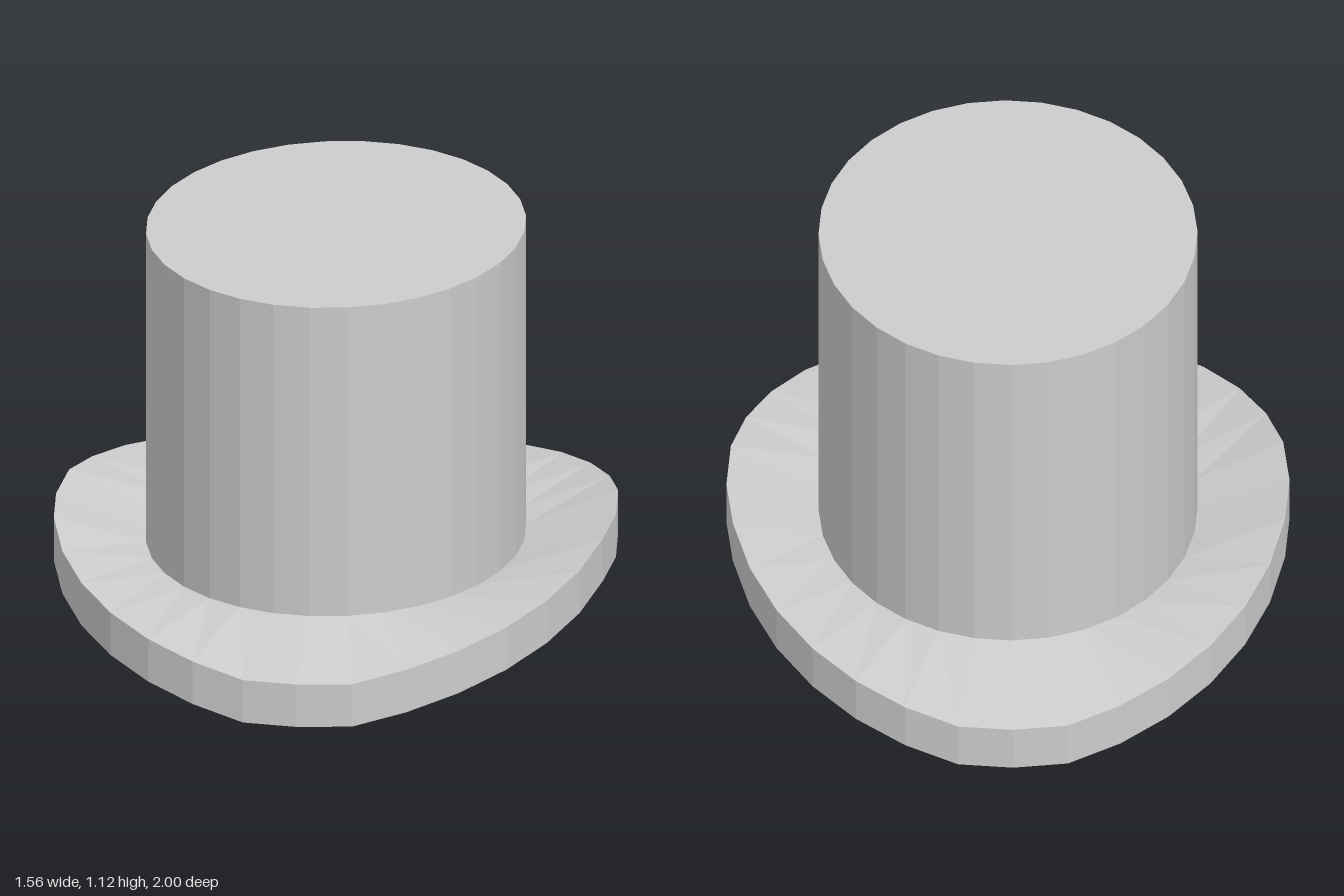
import * as THREE from 'three';

const SIDES = 32;
const BRIM_X = 0.78, BRIM_Z = 1, BRIM_THICKNESS = 0.125;
const CROWN_X = 0.525, CROWN_Z = 0.672, CROWN_BASE = 0.207, CROWN_TOP = 1.117;

// Point on an ellipse, counted from the front towards +x
function ringPoint(i, rx, rz, y) {
  const a = (i / SIDES) * Math.PI * 2;
  return [rx * Math.sin(a), y, rz * Math.cos(a)];
}

// The brim is low at the front and back and curls up at both sides
function brimLift(i) {
  const k = i % 16;
  const steps = Math.min(k, 16 - k);
  return 0.167 * THREE.MathUtils.clamp((steps - 1) / 6, 0, 1);
}

const low = (i) => ringPoint(i, BRIM_X, BRIM_Z, brimLift(i));
const high = (i) => ringPoint(i, BRIM_X, BRIM_Z, brimLift(i) + BRIM_THICKNESS);
const inner = (i) => ringPoint(i, CROWN_X, CROWN_Z, CROWN_BASE);

// Unshared corners give each facet its own flat normal
function facets(points) {
  const geometry = new THREE.BufferGeometry();
  geometry.setAttribute('position', new THREE.Float32BufferAttribute(points.flat(), 3));
  geometry.computeVertexNormals();
  return geometry;
}

export function createModel() {
  const hat = new THREE.Group();
  hat.name = 'topHat';
  const add = (name, geometry, flatShading) => {
    const material = new THREE.MeshStandardMaterial({ color: 0xcccccc, flatShading });
    const mesh = new THREE.Mesh(geometry, material);
    mesh.name = name;
    hat.add(mesh);
    return mesh;
  };

  // Crown: straight oval cylinder with a flat lid
  const height = CROWN_TOP - CROWN_BASE;
  const crown = new THREE.CylinderGeometry(1, 1, height, SIDES, 1, true);
  crown.scale(CROWN_X, 1, CROWN_Z);
  crown.translate(0, CROWN_BASE + height / 2, 0);
  add('crown', crown, true);

  const lid = new THREE.CircleGeometry(1, SIDES);
  lid.rotateX(-Math.PI / 2);
  lid.scale(CROWN_X, 1, CROWN_Z);
  lid.translate(0, CROWN_TOP, 0);
  add('crownLid', lid, true);

  // Brim: sloping upper side, outer edge, and an underside fanned from the back
  const upper = [], edge = [], under = [];
  const back = SIDES / 2;
  for (let i = 0; i < SIDES; i++) {
    const j = i + 1;
    upper.push(high(i), high(j), inner(i), inner(i), high(j), inner(j));
    edge.push(low(i), low(j), high(j), low(i), high(j), high(i));
    if (i !== back && j !== back) under.push(low(back), low(j), low(i));
  }
  add('brimTop', facets(upper), true);
  add('brimEdge', facets(edge), true);

  // Underside is shaded as one face
  const underside = facets(under);
  const normal = underside.attributes.normal;
  for (let i = 0; i < normal.count; i++) normal.setXYZ(i, 0, -1, 0);
  add('brimUnderside', underside, false);

  return hat;
}
